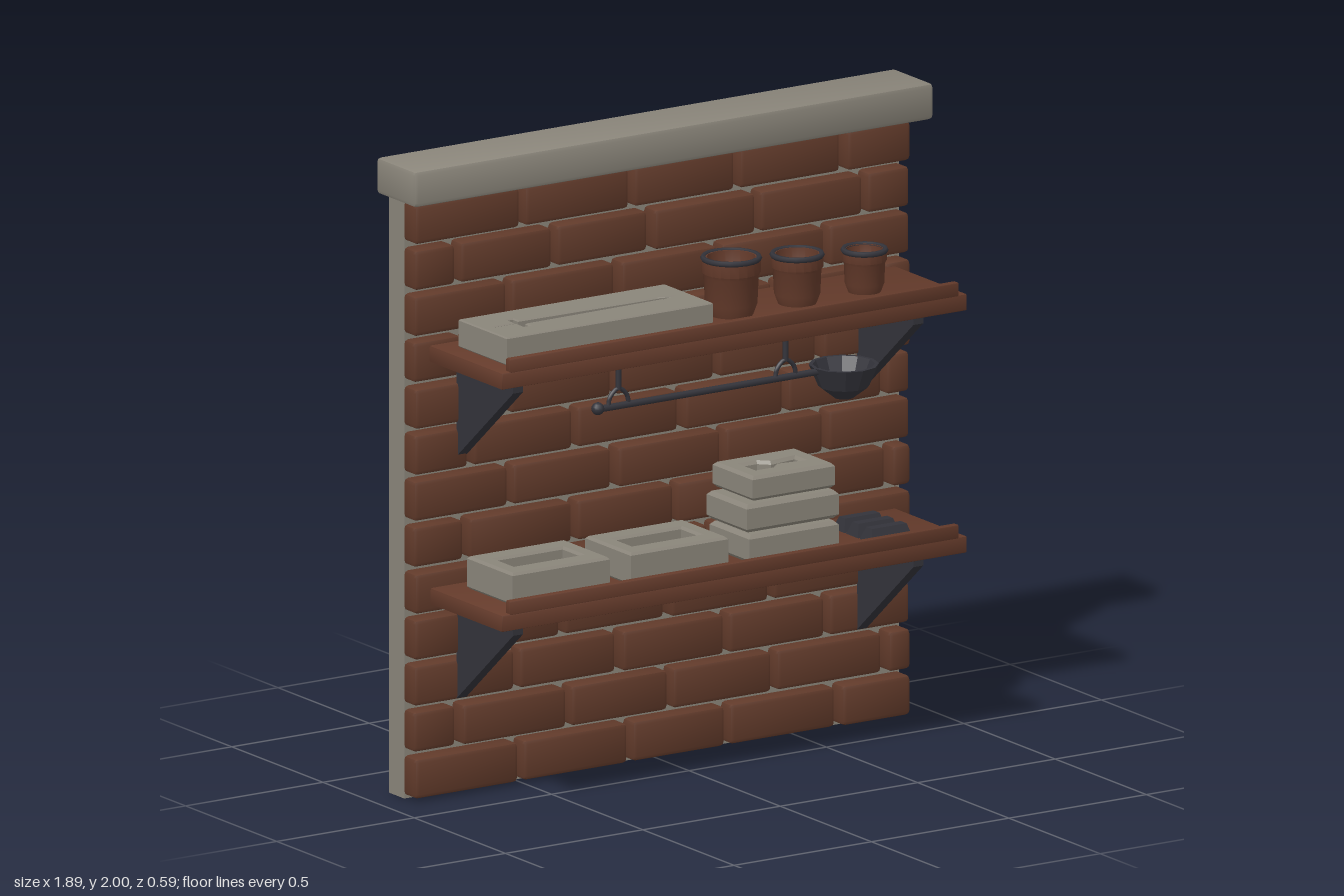
import * as THREE from 'three';
import { toCreasedNormals } from 'three/addons/utils/BufferGeometryUtils.js';
import { RoundedBoxGeometry } from 'three/addons/geometries/RoundedBoxGeometry.js';

const mat = (name, color) => Object.assign(new THREE.MeshStandardMaterial({ color }), { name });

export function createModel() {
  const model = new THREE.Group();
  model.name = 'forgeWallShelves';
  const stone = mat('stone', 0x8a857a);
  const brick = mat('brick', 0x613a2a);
  const wood = mat('wood', 0x653b2b);
  const iron = mat('iron', 0x33333a);

  const add = (name, geo, material, x = 0, y = 0, z = 0) => {
    const m = new THREE.Mesh(geo, material);
    m.name = name;
    m.position.set(x, y, z);
    model.add(m);
    return m;
  };
  // Box given by its extents, with optional chamfered edges
  const box = (name, material, x0, x1, y0, y1, z0, z1, r = 0) => {
    const s = [x1 - x0, y1 - y0, z1 - z0];
    const g = r ? toCreasedNormals(new RoundedBoxGeometry(...s, 1, r), 0.6) : new THREE.BoxGeometry(...s);
    return add(name, g, material, (x0 + x1) / 2, (y0 + y1) / 2, (z0 + z1) / 2);
  };
  const outline = (pts, Type = THREE.Shape) => new Type(pts.map(p => new THREE.Vector2(...p)));

  // Backing slab and coping
  box('wallSlab', stone, -0.9, 0.9, 0, 1.89, -0.29, -0.205);
  box('coping', stone, -0.945, 0.945, 1.885, 2, -0.295, -0.08, 0.014);

  // Brick courses: x of the joints in each, bottom to top
  const joints = [
    [-0.516, -0.116, 0.24, 0.643],
    [-0.738, -0.341, 0.03, 0.41, 0.812],
    [-0.526, -0.156, 0.233, 0.6],
    [-0.72, -0.362, 0.02, 0.394, 0.81],
    [-0.56, -0.2, 0.177, 0.55],
    [-0.71, -0.32, 0.05, 0.44, 0.825],
    [-0.55, -0.172, 0.22, 0.595],
    [-0.696, -0.315, 0.071, 0.447, 0.807],
    [-0.563, -0.177, 0.2, 0.574],
    [-0.717, -0.34, 0.03, 0.41, 0.8],
    [-0.555, -0.16, 0.21, 0.6],
    [-0.743, -0.389, -0.04, 0.347, 0.738],
    [-0.51, -0.111, 0.275, 0.661],
  ];
  joints.forEach((row, i) => {
    const xs = [-0.912, ...row, 0.912];
    const y = 0.01 + i * 0.145;
    for (let k = 0; k < xs.length - 1; k++) {
      const front = -0.14 - ((i * 3 + k * 5) % 4) * 0.003;
      box('brick', brick, xs[k] + 0.011, xs[k + 1] - 0.011, y, y + 0.126, -0.215, front, 0.014);
    }
  });

  // Shelves with front lip and iron brackets; y is the board's top
  const bracket = new THREE.ExtrudeGeometry(
    outline([[-0.15, 0], [0.16, 0], [0.16, -0.045], [-0.15, -0.31]]),
    { depth: 0.036, bevelEnabled: false });
  bracket.translate(0, 0, -0.018).rotateY(-Math.PI / 2);
  for (const y of [1.427, 0.667]) {
    box('shelfBoard', wood, -0.847, 0.847, y - 0.053, y, -0.15, 0.25, 0.006);
    box('shelfLip', wood, -0.817, 0.817, y - 0.005, y + 0.04, 0.225, 0.25, 0.005);
    for (const x of [-0.728, 0.728]) add('shelfBracket', bracket, iron, x, y - 0.053, 0);
  }

  // Stone casting moulds: a block with a cavity, optionally closed below by a floor
  const mould = (name, x, y, z, w, h, d, cavity, floor, bevel) => {
    const a = w / 2 - bevel, b = d / 2 - bevel;
    const s = outline([[-a, -b], [a, -b], [a, b], [-a, b]]);
    s.holes.push(outline(cavity, THREE.Path));
    const g = new THREE.ExtrudeGeometry(s, {
      depth: h - 2 * bevel, bevelEnabled: true, bevelThickness: bevel, bevelSize: bevel, bevelSegments: 1,
    });
    g.translate(0, 0, bevel).rotateX(-Math.PI / 2);
    add(name, g, stone, x, y, z);
    if (floor) box(name + 'Floor', stone, x - a, x + a, y + 0.004, y + floor, z - b, z + b);
  };

  // Sword mould, cut through to the shelf
  const half = [[-0.335, 0.009], [-0.26, 0.009], [-0.26, 0.052], [-0.23, 0.052], [-0.23, 0.023],
    [0.27, 0.013], [0.27, 0.018]];
  const sword = [...half, [0.33, 0], ...half.map(([x, y]) => [x, -y]).reverse()];
  mould('swordMould', -0.41, 1.427, 0.052, 0.75, 0.088, 0.265, sword, 0, 0.004);

  // Ingot moulds lying side by side
  const rect = (w, d) => [[-w / 2, -d / 2], [w / 2, -d / 2], [w / 2, d / 2], [-w / 2, d / 2]];
  for (const x of [-0.582, -0.152])
    mould('ingotMould', x, 0.667, 0.052, 0.355, 0.103, 0.25, rect(0.26, 0.12), 0.045, 0.008);

  // Stack of three moulds, the top one with a tool-head cavity
  const head = [[-0.1, -0.05], [-0.03, -0.05], [0, -0.02], [0.1, -0.035], [0.1, 0.035],
    [0, 0.02], [-0.03, 0.05], [-0.1, 0.05]];
  mould('stackedMould', 0.273, 0.667, 0.055, 0.325, 0.09, 0.22, rect(0.2, 0.1), 0.04, 0.012);
  mould('stackedMould', 0.268, 0.765, 0.055, 0.335, 0.088, 0.22, rect(0.2, 0.1), 0.04, 0.012);
  mould('stackedMould', 0.272, 0.862, 0.055, 0.3, 0.078, 0.22, head, 0.035, 0.01);

  // Iron ingots: tapered bars
  const ingot = new THREE.BoxGeometry(0.15, 0.04, 0.065);
  const p = ingot.attributes.position;
  for (let i = 0; i < p.count; i++)
    if (p.getY(i) > 0) p.setXYZ(i, p.getX(i) * 0.84, p.getY(i), p.getZ(i) * 0.5);
  ingot.computeVertexNormals();
  for (const z of [0.132, 0.058, -0.016]) add('ingot', ingot, iron, 0.63, 0.687, z);

  // Crucibles with iron rims
  for (const [x, r, h] of [[0.12, 0.093, 0.18], [0.36, 0.082, 0.155], [0.605, 0.07, 0.133]]) {
    const profile = [[0, 0], [0.72, 0], [0.86, 0.2], [0.9, 0.68], [0.97, 0.74], [0.97, 1],
      [0.8, 1], [0.76, 0.3], [0.6, 0.15], [0, 0.15]];
    const g = new THREE.LatheGeometry(profile.map(([a, b]) => new THREE.Vector2(a * r, b * h)), 20);
    add('crucible', toCreasedNormals(g, 0.6), wood, x, 1.427, 0.05);
    const rim = new THREE.TorusGeometry(r * 0.92, 0.009, 6, 20).rotateX(Math.PI / 2);
    add('crucibleRim', rim, iron, x, 1.427 + h - 0.003, 0.05);
  }

  // Hooks below the upper shelf: a stem ending in a small fork
  const zRail = 0.19;
  const fork = new THREE.TubeGeometry(new THREE.CatmullRomCurve3(
    [[-0.036, 1.252], [-0.031, 1.275], [0, 1.3], [0.031, 1.275], [0.036, 1.252]]
      .map(([x, y]) => new THREE.Vector3(x, y, 0))), 10, 0.007, 6);
  for (const x of [-0.383, 0.225]) {
    add('hookStem', new THREE.CylinderGeometry(0.009, 0.009, 0.085, 8), iron, x, 1.338, zRail);
    add('hookFork', fork, iron, x, 0, zRail);
  }

  // Ladle: knobbed handle and faceted bowl
  const handle = new THREE.CylinderGeometry(0.011, 0.011, 0.81, 8).rotateZ(Math.PI / 2);
  add('ladleHandle', handle, iron, -0.055, 1.244, zRail);
  add('ladleKnob', new THREE.SphereGeometry(0.02, 10, 8), iron, -0.458, 1.246, zRail);
  const bowl = new THREE.LatheGeometry(
    [[0, 0], [0.03, 0.008], [0.078, 0.045], [0.107, 0.113], [0.095, 0.113], [0.068, 0.052], [0, 0.02]]
      .map(q => new THREE.Vector2(...q)), 12);
  add('ladleBowl', toCreasedNormals(bowl, 0.3), iron, 0.437, 1.142, zRail);

  return model;
}
